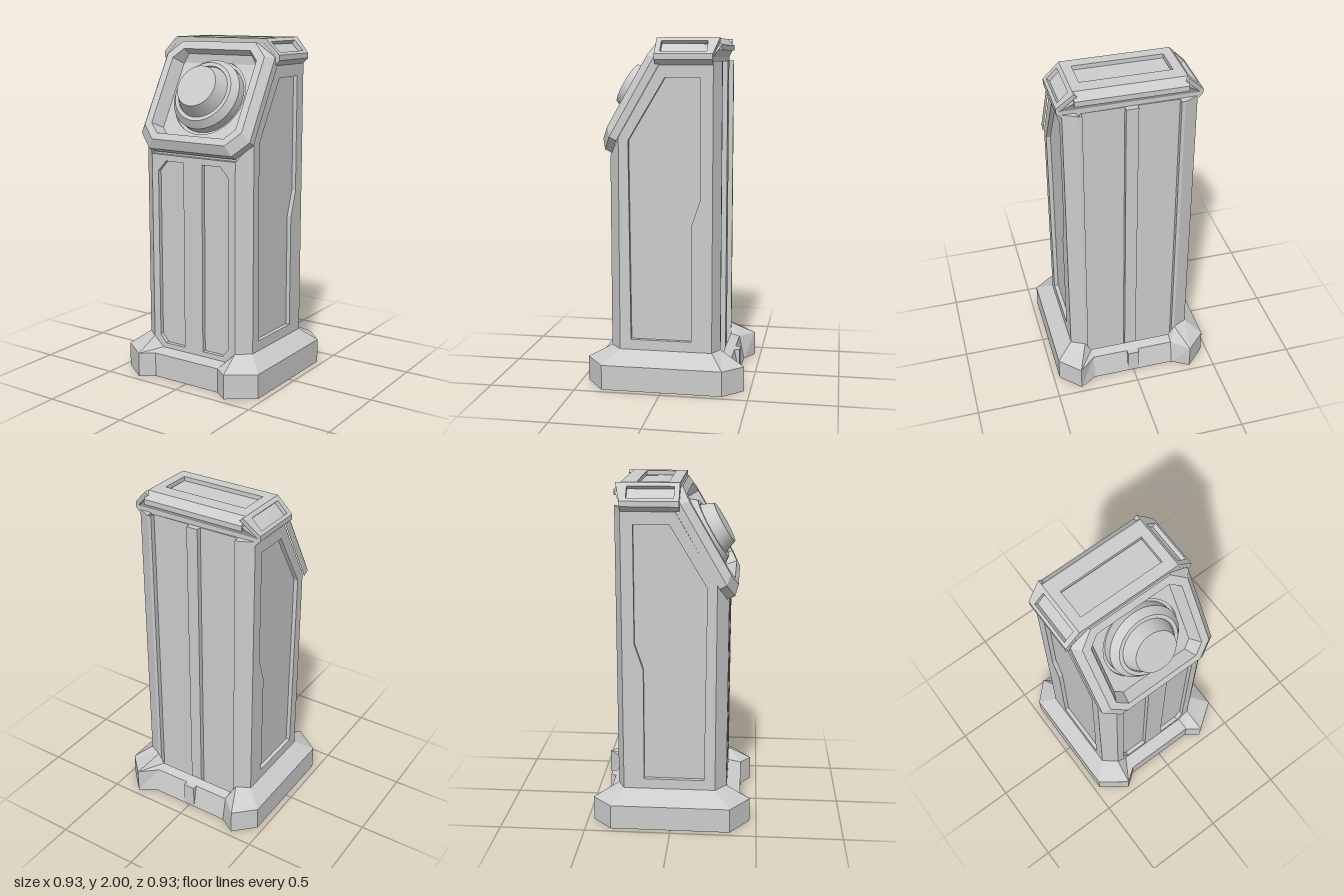
import * as THREE from 'three';
import { toCreasedNormals } from 'three/addons/utils/BufferGeometryUtils.js';

const V3 = (x, y, z) => new THREE.Vector3(x, y, z);
const shapeOf = (pts) => new THREE.Shape(pts.map(([x, y]) => new THREE.Vector2(x, y)));
const rect = (x0, y0, x1, y1) => [[x0, y0], [x1, y0], [x1, y1], [x0, y1]];
// Complete a half outline (x > 0) with its mirror image
const mirrored = (half) => [...half, ...half.slice().reverse().map(([x, ...r]) => [-x, ...r])];

export function createModel() {
  const group = new THREE.Group();
  const grey = new THREE.MeshStandardMaterial({ color: 0xcccccc });
  grey.name = 'light grey';

  const add = (name, geo) => {
    const mesh = new THREE.Mesh(geo, grey);
    mesh.name = name;
    group.add(mesh);
    return mesh;
  };

  // Plate with holes: its face lies in the plane (U, V), its thickness goes inward
  const plate = (pts, holes, depth, origin, U, V) => {
    const shape = shapeOf(pts);
    holes.forEach((h) => shape.holes.push(Array.isArray(h) ? shapeOf(h) : h));
    const geo = new THREE.ExtrudeGeometry(shape, { depth, bevelEnabled: false, curveSegments: 24 });
    geo.translate(0, 0, -depth);
    const N = U.clone().cross(V);
    geo.applyMatrix4(new THREE.Matrix4().makeBasis(U, V, N).setPosition(origin));
    return geo;
  };

  // Flat-sided skin through closed rings with equal point counts
  const loft = (rings) => {
    const out = [];
    for (let k = 0; k + 1 < rings.length; k++) {
      const a = rings[k], b = rings[k + 1];
      a.forEach((p, i) => {
        const j = (i + 1) % a.length;
        [p, a[j], b[j], p, b[j], b[i]].forEach((q) => out.push(...q));
      });
    }
    const geo = new THREE.BufferGeometry();
    geo.setAttribute('position', new THREE.Float32BufferAttribute(out, 3));
    geo.computeVertexNormals();
    return geo;
  };

  // Mirror a non-indexed geometry across x = 0, keeping faces outward
  const flipX = (geo) => {
    const g = geo.clone(), p = g.attributes.position;
    for (let i = 0; i < p.count; i += 3) {
      const t = [0, 2, 1].map((k) => V3().fromBufferAttribute(geo.attributes.position, i + k));
      t.forEach((v, k) => p.setXYZ(i + k, -v.x, v.y, v.z));
    }
    g.computeVertexNormals();
    return g;
  };

  const X = V3(1, 0, 0), Y = V3(0, 1, 0), BACK = V3(0, 0, -1);
  const slopeY = (z) => Math.min(1.87, (0.945 - 0.866 * z) / 0.5);

  // Base: flared foot with four protruding corners
  const foot = mirrored([[0.225, 0.4], [0.305, 0.46], [0.465, 0.345], [0.465, -0.35], [0.35, -0.465], [0.25, -0.405]]);
  const rim = mirrored([[0.225, 0.16, 0.32], [0.29, 0.22, 0.32], [0.37, 0.22, 0.255],
    [0.37, 0.22, -0.28], [0.29, 0.22, -0.32], [0.25, 0.16, -0.32]]);
  add('base', loft([
    foot.map(([x, z]) => [x, 0, z]),
    foot.map(([x, z]) => [x, 0.145, z === -0.405 ? -0.375 : z]),
    rim,
  ]));
  add('baseBottom', new THREE.ShapeGeometry(shapeOf(foot)).rotateX(Math.PI / 2));
  add('baseRearRib', new THREE.BoxGeometry(0.07, 0.145, 0.085).translate(0, 0.0725, -0.3625));

  // Body: stepped cross-section with rear grooves, top cut along the slope
  const section = mirrored([[0.29, 0.295], [0.29, 0.32], [0.37, 0.255], [0.345, 0.255], [0.345, 0.01],
    [0.345, -0.28], [0.37, -0.28], [0.29, -0.32], [0.27, -0.32], [0.27, -0.29], [0.035, -0.29], [0.035, -0.32]]);
  const body = new THREE.ExtrudeGeometry(shapeOf(section.map(([x, z]) => [x, -z])), { depth: 1, bevelEnabled: false });
  body.rotateX(-Math.PI / 2);
  const bp = body.attributes.position;
  for (let i = 0; i < bp.count; i++) bp.setY(i, bp.getY(i) > 0.5 ? slopeY(bp.getZ(i)) : 0.1);
  body.computeVertexNormals();
  add('body', body);

  // Side panels with a recessed outline (u runs toward the back)
  const side = plate(
    [[-0.255, 0.15], [0.28, 0.15], [0.28, 1.87], [-0.01, 1.87], [-0.255, slopeY(0.255)]],
    [[[-0.19, 0.28], [0.16, 0.28], [0.16, 0.95], [0.21, 1.1], [0.21, 1.78], [0.01, 1.78], [-0.2, 1.43]]],
    0.025, V3(0.37, 0, 0), BACK, Y);
  add('leftSidePanel', side);
  add('rightSidePanel', flipX(side));

  // Front panel with two tall recesses
  const slot = [[0.065, 0.19], [0.205, 0.19], [0.245, 0.24], [0.245, 1.24], [0.19, 1.3], [0.065, 1.3]];
  add('frontPanel', plate(rect(-0.29, 0.12, 0.29, 1.336),
    [slot, slot.map(([x, y]) => [-x, y])], 0.025, V3(0, 0, 0.32), X, Y));

  // Cap: core prism, rear corners cut back
  const capHalf = [[0.37, 1.85], [0.4, 1.88], [0.4, 1.91], [0.382, 1.892], [0.299, 1.975]];
  const cap = new THREE.ExtrudeGeometry(shapeOf(mirrored(capHalf)), { depth: 0.365, bevelEnabled: false });
  cap.translate(0, 0, -0.32);
  const cp = cap.attributes.position;
  for (let i = 0; i < cp.count; i++) {
    if (cp.getZ(i) > -0.3) continue;
    if (Math.abs(cp.getX(i)) > 0.35) cp.setZ(i, -0.28);
    cp.setY(i, Math.min(cp.getY(i), 1.96));
  }
  cap.computeVertexNormals();
  add('cap', cap);
  add('capTop', plate(rect(-0.31, -0.045, 0.31, 0.28), [rect(-0.255, 0.02, 0.255, 0.195)],
    0.025, V3(0, 2, 0), X, BACK));
  add('capRearBevel', plate([[0.28, 2], [0.32, 1.96], [0.32, 1.93], [0.28, 1.93]], [],
    0.62, V3(0.31, 0, 0), BACK, Y));
  const L = 0.1273;
  const shoulder = plate([[-0.045, 0], [-0.045, -L], [0.28, -L], [0.31, 0]].map(([u, v]) => [u, v]),
    [rect(-0.015, -L + 0.02, 0.245, -0.025)], 0.025,
    V3(0.31, 2, 0), BACK, V3(-Math.SQRT1_2, Math.SQRT1_2, 0));
  add('leftCapShoulder', shoulder);
  add('rightCapShoulder', flipX(shoulder));

  // Sloped head frame, built in its own plane
  const P0 = V3(0, 1.43, 0.37);
  const UP = V3(0, Math.cos(Math.PI / 6), -0.5), OUT = V3(0, 0.5, Math.cos(Math.PI / 6));
  const at = (x, v, n) => P0.clone().addScaledVector(X, x).addScaledVector(UP, v).addScaledVector(OUT, n);
  const oct = (w, v0, v1, c, n) => mirrored([[w - c, v0], [w, v0 + c], [w, v1 - c], [w - c, v1]])
    .map(([x, v]) => at(x, v, n).toArray());
  add('headFrame', loft([
    oct(0.375, -0.04, 0.65, 0.09, -0.09),
    oct(0.375, -0.042, 0.65, 0.09, -0.045),
    oct(0.335, 0, 0.63, 0.085, 0),
    oct(0.29, 0.04, 0.58, 0.06, 0),
    oct(0.255, 0.06, 0.565, 0.045, -0.078),
  ]));
  const ring = new THREE.Path().absarc(0, 0.313, 0.232, 0, Math.PI * 2);
  add('headFloor', plate(rect(-0.3, 0.03, 0.3, 0.6), [ring], 0.012, at(0, 0, -0.075), X, UP));
  add('headBacking', plate(rect(-0.29, 0.03, 0.29, 0.6), [], 0.005, at(0, 0, -0.088), X, UP));

  // Lens: stepped round housing ending in a blunt cone
  const profile = [[0.215, -0.09], [0.215, -0.035], [0.182, 0.005], [0.16, 0.005], [0.158, -0.002], [0.125, 0.077], [0, 0.077]];
  const lens = new THREE.LatheGeometry(profile.map(([r, h]) => new THREE.Vector2(r, h)), 48);
  lens.rotateX(Math.PI / 3);
  const c = at(0, 0.313, 0);
  lens.translate(c.x, c.y, c.z);
  add('lens', toCreasedNormals(lens, 0.4));

  return group;
}
